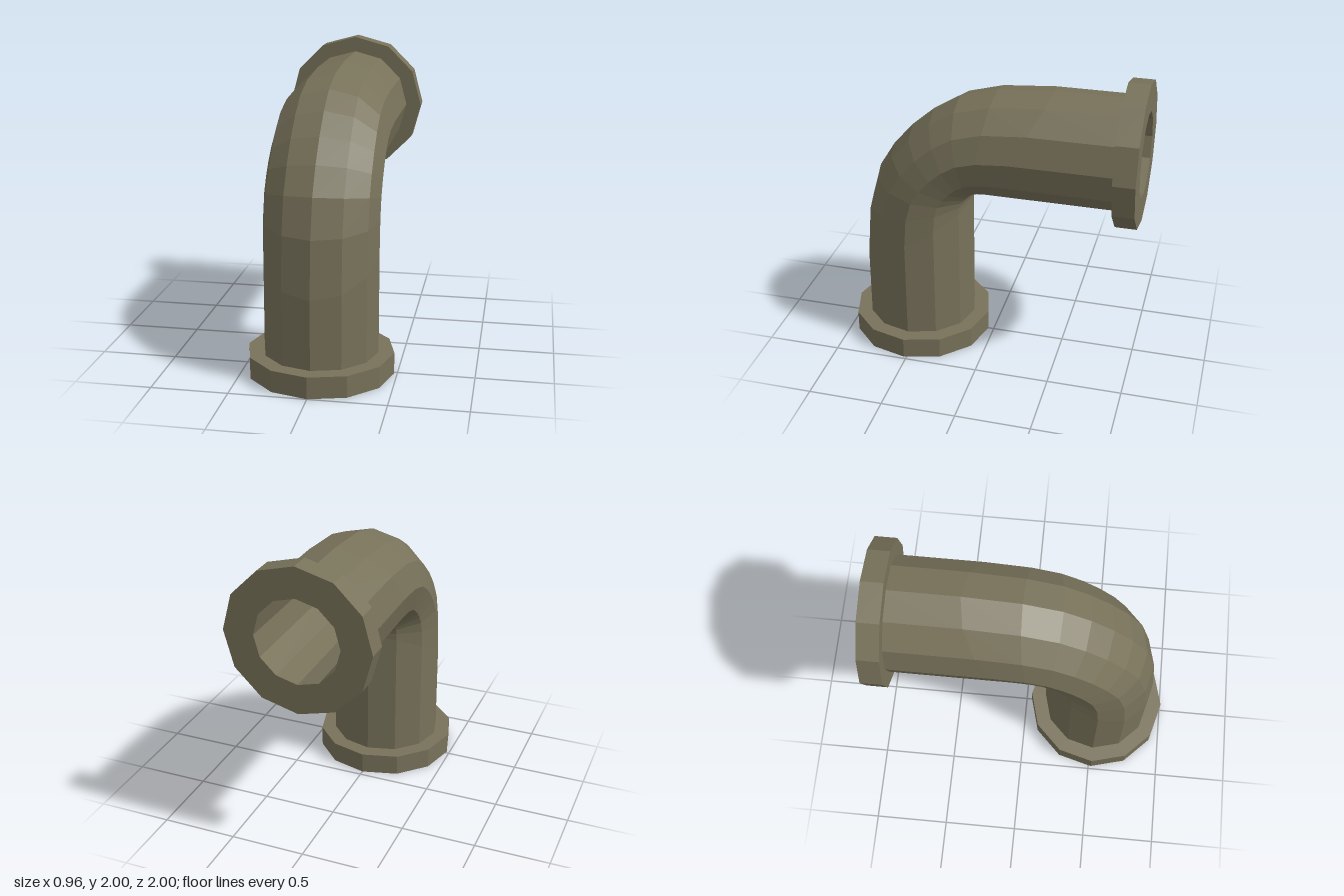
import * as THREE from 'three';

const SIDES = 12;
const AXIS = 0.518;      // z of the upright leg
const AXIS_Y = 1.52;     // y of the level leg
const PIVOT = 0.437;     // distance from the axes to the inner pivot of the bend
const OUTER = 0.377;
const BORE = 0.28;

// Bend stations (z, y) from the pivot, as a share of the outer corner; mirrored about the diagonal
const half = [[0.997, -0.595], [0.959, -0.133], [0.874, 0.176], [0.741, 0.393]];
const bend = [...half, [0.579, 0.579], ...half.map(([a, b]) => [b, a]).reverse()];

// Twelve-sided skin swept up the upright leg, round the bend and back along the level leg
function pipeSkin(radius, inset, inward) {
  const rings = [];
  const ring = (place) => {
    const points = [];
    for (let j = 0; j < SIDES; j++) {
      const t = (j / SIDES) * Math.PI * 2;
      const [z, y] = place(radius * Math.cos(t));
      points.push([radius * Math.sin(t), y, z]);
    }
    rings.push(points);
  };
  ring((r) => [AXIS + r, inset]);
  for (const [a, b] of bend) {
    ring((r) => [AXIS - PIVOT + a * (r + PIVOT), AXIS_Y - PIVOT + b * (r + PIVOT)]);
  }
  ring((r) => [-1 + inset, AXIS_Y + r]);

  const positions = [];
  for (let i = 0; i < rings.length - 1; i++) {
    for (let j = 0; j < SIDES; j++) {
      const k = (j + 1) % SIDES;
      const a = rings[i][j], b = rings[i][k], c = rings[i + 1][k], d = rings[i + 1][j];
      const corners = inward ? [a, c, b, a, d, c] : [a, b, c, a, c, d];
      corners.forEach((p) => positions.push(...p));
    }
  }
  const geometry = new THREE.BufferGeometry();
  geometry.setAttribute('position', new THREE.Float32BufferAttribute(positions, 3));
  geometry.computeVertexNormals();
  return geometry;
}

export function createModel() {
  const model = new THREE.Group();
  model.name = 'pipeElbow';
  const metal = new THREE.MeshStandardMaterial({ color: 0x78725a, flatShading: true });
  metal.name = 'dull olive metal';

  const add = (name, geometry) => {
    const mesh = new THREE.Mesh(geometry, metal);
    mesh.name = name;
    model.add(mesh);
    return mesh;
  };

  // Pipe wall and hollow bore
  add('pipe', pipeSkin(OUTER, 0.1, false));
  add('bore', pipeSkin(BORE, 0, true));

  // Collars at both ends
  const profile = [[BORE, 0], [0.48, 0], [0.48, 0.143], [0.35, 0.143]];
  const collar = new THREE.LatheGeometry(profile.map(([r, y]) => new THREE.Vector2(r, y)), SIDES);
  add('bottomCollar', collar).position.set(0, 0, AXIS);
  const back = add('backCollar', collar);
  back.position.set(0, AXIS_Y, -1);
  back.rotation.x = Math.PI / 2;

  return model;
}
